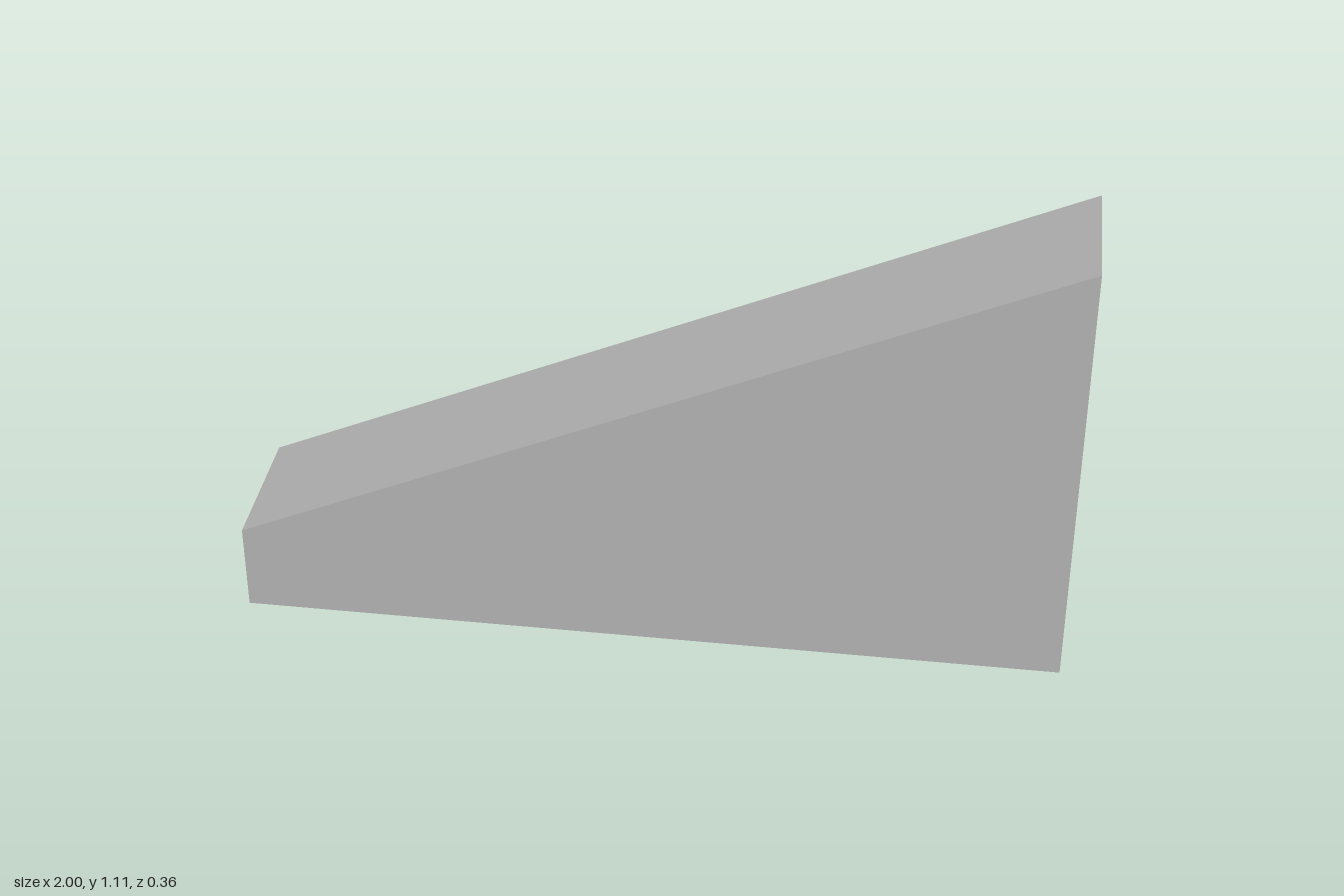
import * as THREE from 'three';

const FRONT = 0.18, PANEL = -0.153, RELIEF = -0.161, LIP = -0.18;
const slope = (x) => 0.667 + 0.444 * x; // height of the sloping top edge

export function createModel() {
  const group = new THREE.Group();
  const grey = new THREE.MeshStandardMaterial({ color: 0xb4b4b4 });
  grey.name = 'grey';

  // Upright slab from x0 to x1 with given bottom and top edge functions
  const slab = (name, x0, x1, bottom, top, z0, z1) => {
    const shape = new THREE.Shape([
      new THREE.Vector2(x0, bottom(x0)), new THREE.Vector2(x1, bottom(x1)),
      new THREE.Vector2(x1, top(x1)), new THREE.Vector2(x0, top(x0)),
    ]);
    const geo = new THREE.ExtrudeGeometry(shape, { depth: z1 - z0, bevelEnabled: false });
    geo.translate(0, 0, z0);
    const mesh = new THREE.Mesh(geo, grey);
    mesh.name = name;
    group.add(mesh);
  };

  const ground = () => 0;
  const below = (d) => (x) => slope(x) - d;

  // Main wedge wall and the overhanging lip along its back top edge
  slab('wall', -1, 1, ground, slope, PANEL, FRONT);
  slab('lip', -1, 1, below(0.041), slope, LIP, PANEL);

  // Thin upright ribs dividing the back into five panels
  for (let i = 0; i <= 5; i++) {
    const x = -1 + i * 0.4;
    slab('rib', Math.max(-1, x - 0.006), Math.min(1, x + 0.006), ground, below(0.061), RELIEF + 0.001, PANEL);
  }

  // Row of slanted blocks under the lip
  for (let i = 0; i < 10; i++) {
    const x = -1 + i * 0.2;
    slab('block', x, x + 0.1, below(0.177), below(0.061), RELIEF, PANEL);
  }
  return group;
}
